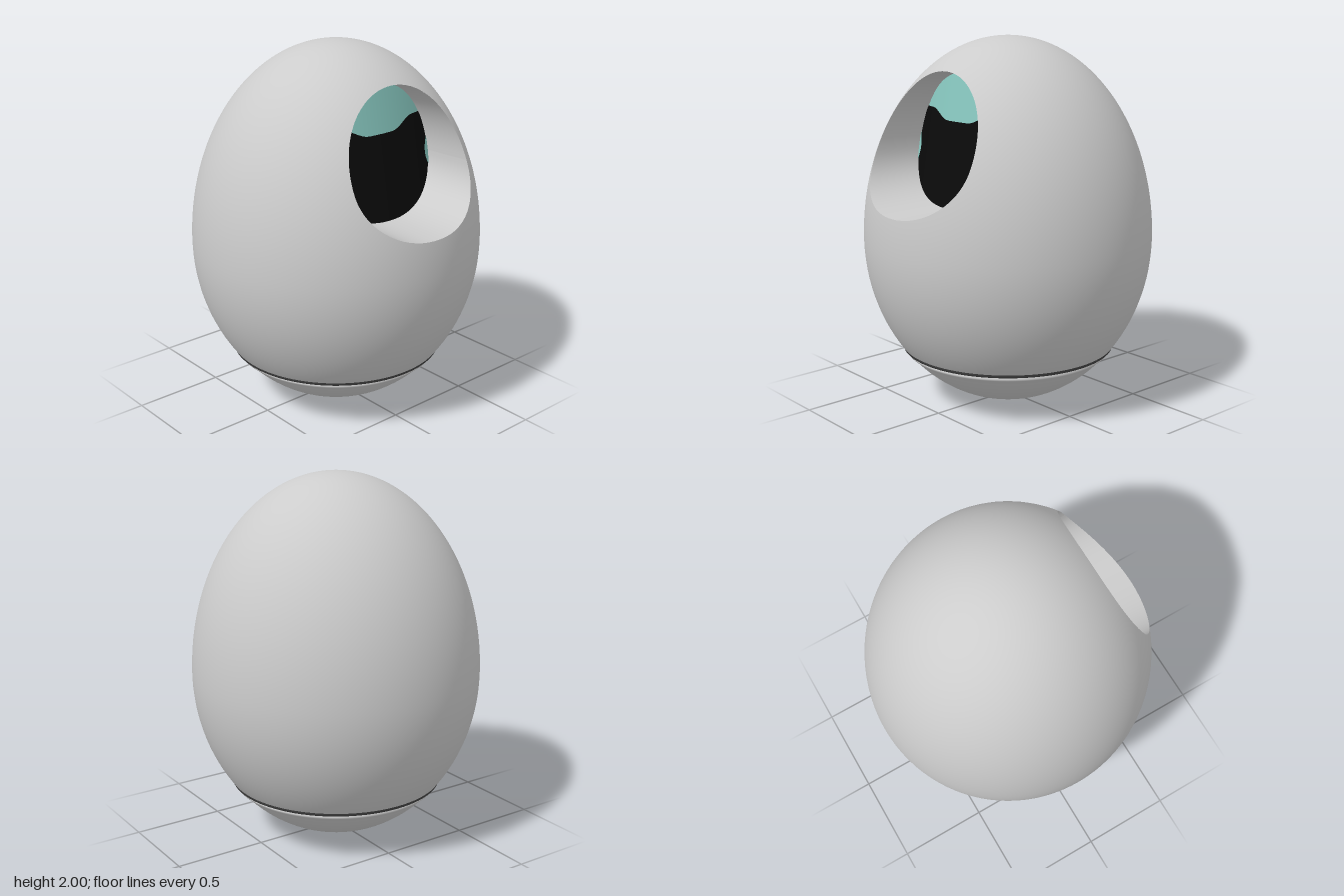
import * as THREE from 'three';

const mat = (name, color, side = THREE.FrontSide) => {
  const m = new THREE.MeshStandardMaterial({ color, side });
  m.name = name;
  return m;
};

// Egg: two half ellipsoids meeting at the widest height
const R = 0.787, MID = 0.92, UP = 1.08, DOWN = 0.92;
const half = (y) => (y > MID ? UP : DOWN);
const radius = (y) => R * Math.sqrt(Math.max(0, 1 - ((y - MID) / half(y)) ** 2));

// Rounded opening: half width at a height, and its upper and lower edges
const W = 0.395, HY = 1.4, TOP = 1.83, BOT = 1.11;
const arc = (t, n) => Math.pow(Math.max(0, 1 - Math.pow(Math.min(1, Math.abs(t)), n)), 1 / n);
const holeWidth = (y) => (y > HY ? W * arc((y - HY) / (TOP - HY), 2) : W * arc((HY - y) / (HY - BOT), 2.2));
const INSET = 0.97;
const upper = (x) => HY + (TOP - HY) * INSET * arc(x / (W * INSET), 2);
const lower = (x) => HY - (HY - BOT) * INSET * arc(x / (W * INSET), 2.2);

// Gently bulging back wall of the recess
const wallZ = (x, y) => 0.43 - 0.5 * x * x - 0.13 * (y - BOT) / (TOP - BOT);

// Surface from a rule f(u, v) -> [x, y, z]
function grid(nu, nv, f) {
  const pos = [], index = [];
  for (let j = 0; j <= nv; j++)
    for (let i = 0; i <= nu; i++) pos.push(...f(i / nu, j / nv));
  for (let j = 0; j < nv; j++)
    for (let i = 0; i < nu; i++) {
      const a = j * (nu + 1) + i, b = a + 1, c = a + nu + 1, d = c + 1;
      index.push(a, b, d, a, d, c);
    }
  const g = new THREE.BufferGeometry();
  g.setAttribute('position', new THREE.Float32BufferAttribute(pos, 3));
  g.setIndex(index);
  g.computeVertexNormals();
  return g;
}
const ease = (t) => (1 - Math.cos(Math.PI * t)) / 2;

export function createModel() {
  const group = new THREE.Group();
  const grey = mat('shell grey', 0xcccccc);
  const greyInside = mat('recess grey', 0xcccccc, THREE.DoubleSide);
  const teal = mat('teal', 0x88c8c0, THREE.DoubleSide);
  const black = mat('black', 0x0a0a0a, THREE.DoubleSide);
  const dark = mat('groove grey', 0x484848, THREE.DoubleSide);
  const add = (name, geometry, material) => {
    const m = new THREE.Mesh(geometry, material);
    m.name = name;
    group.add(m);
  };

  // Shell: each row runs round the egg from one side of the opening to the other
  const stops = [0.31, BOT, TOP, 2];
  const shell = grid(96, 108, (u, v) => {
    const k = Math.min(2, Math.floor(v * 3 + 1e-9));
    const y = stops[k] + (stops[k + 1] - stops[k]) * ease(v * 3 - k);
    const r = radius(y);
    const a = y > BOT && y < TOP ? Math.asin(Math.min(1, holeWidth(y) / r)) : 0;
    const t = a + (2 * Math.PI - 2 * a) * u;
    return [r * Math.sin(t), y, r * Math.cos(t)];
  });
  const p = shell.attributes.position, n = new THREE.Vector3();
  for (let i = 0; i < p.count; i++) {
    const y = p.getY(i);
    n.set(p.getX(i) / R ** 2, (y - MID) / half(y) ** 2, p.getZ(i) / R ** 2).normalize();
    shell.attributes.normal.setXYZ(i, n.x, n.y, n.z);
  }
  add('eggShell', shell, grey);

  // Walls of the recess, from the rim back to the inner wall
  add('recessWall', grid(96, 6, (u, v) => {
    const t = u * 2 * Math.PI, s = Math.sin(t), e = s > 0 ? 1 : 2 / 2.2;
    const x = W * Math.sign(Math.cos(t)) * Math.abs(Math.cos(t)) ** e;
    const y = HY + (s > 0 ? TOP - HY : HY - BOT) * Math.sign(s) * Math.abs(s) ** e;
    const k = 1 - (1 - INSET) * v, xi = x * k, yi = HY + (y - HY) * k;
    const front = Math.sqrt(Math.max(0, radius(y) ** 2 - x * x));
    return [xi, yi, front + (wallZ(xi, yi) - front) * v];
  }), greyInside);

  // Panels following the inner wall between two height curves
  const panel = (name, material, x0, x1, lo, hi, lift) =>
    add(name, grid(48, 10, (u, v) => {
      const x = x0 + (x1 - x0) * ease(u);
      const y = lo(x) + (Math.max(lo(x), hi(x)) - lo(x)) * v;
      return [x, y, wallZ(x, y) + lift];
    }), material);
  const w = W * INSET;
  panel('innerWall', teal, -w, w, lower, upper, 0);
  const wave = (x) => 1.565 + 0.055 * THREE.MathUtils.smoothstep(Math.abs(x), 0.08, 0.25);
  panel('darkPanel', black, -w, w, lower, (x) => Math.min(upper(x), wave(x)), 0.004);
  for (const s of [-1, 1]) {
    const reach = (x) => 0.085 * Math.sqrt(Math.max(0, (Math.abs(x) - 0.348) / (w - 0.348)));
    const [a, b] = s < 0 ? [-w, -0.348] : [0.348, w];
    panel(s < 0 ? 'rightSliver' : 'leftSliver', teal, a, b,
      (x) => Math.max(lower(x), 1.4 - reach(x)), (x) => Math.min(upper(x), 1.4 + reach(x)), 0.008);
  }

  // Rounded bowl under the shell
  const bowl = [];
  for (let i = 0; i <= 20; i++) {
    const t = (i / 20) * 0.775;
    bowl.push(new THREE.Vector2(R * Math.sin(t), MID - DOWN * Math.cos(t)));
  }
  bowl.push(new THREE.Vector2(0.562, 0.268), new THREE.Vector2(0.564, 0.278), new THREE.Vector2(0.558, 0.29));
  add('base', new THREE.LatheGeometry(bowl, 96), grey);

  // Dark groove between bowl and shell
  const groove = [[0.55, 0.288], [0.583, 0.293], [0.585, 0.305], [0.589, 0.311]];
  add('groove', new THREE.LatheGeometry(groove.map(([x, y]) => new THREE.Vector2(x, y)), 96), dark);

  return group;
}
